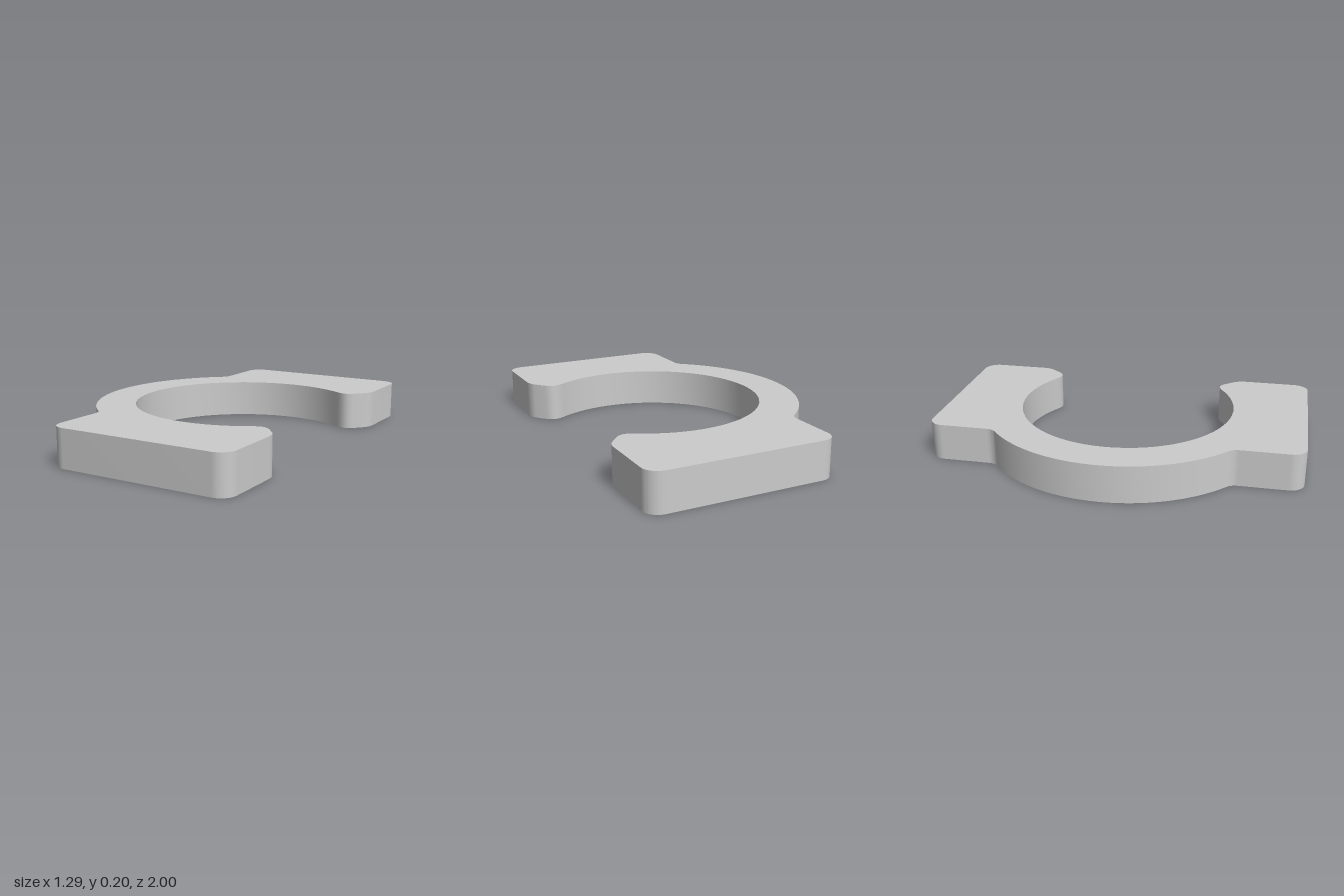
import * as THREE from 'three';
import { toCreasedNormals } from 'three/addons/utils/BufferGeometryUtils.js';

const THICKNESS = 0.2;
const CX = 0.16;       // centre of the ring
const INNER = 0.595;
const OUTER = 0.805;
const CORNER = 0.08;

// Half of the plan outline, from the inside of the ring round one pad to its outside
function halfOutline() {
  const left = -0.34, right = 0.645, end = 1;
  const p = new THREE.Path();
  p.absarc(CX, 0, INNER, Math.PI, Math.atan2(0.52, 0.29), true);
  // rounded jaw tip
  p.bezierCurveTo(0.5, 0.487, 0.54, 0.468, 0.58, 0.515);
  p.lineTo(0.62, 0.562);
  p.quadraticCurveTo(right, 0.592, right, 0.64);
  // pad with rounded outer corners
  p.lineTo(right, end - CORNER);
  p.absarc(right - CORNER, end - CORNER, CORNER, 0, Math.PI / 2, false);
  p.lineTo(left + CORNER, end);
  p.absarc(left + CORNER, end - CORNER, CORNER, Math.PI / 2, Math.PI, false);
  // small fillet where the pad meets the ring
  p.lineTo(left, 0.665);
  p.quadraticCurveTo(left, 0.632, -0.365, 0.61);
  p.absarc(CX, 0, OUTER, Math.atan2(0.61, -0.525), Math.PI, false);
  return p.getPoints(12);
}

export function createModel() {
  const half = halfOutline();
  // mirror the half, dropping the two points shared on the axis
  const mirrored = half.slice(1, -1).reverse().map(q => new THREE.Vector2(q.x, -q.y));
  const shape = new THREE.Shape([...half, ...mirrored]);

  const extruded = new THREE.ExtrudeGeometry(shape, { depth: THICKNESS, bevelEnabled: false });
  extruded.rotateX(-Math.PI / 2);

  const clip = new THREE.Mesh(
    toCreasedNormals(extruded, 0.5),
    new THREE.MeshStandardMaterial({ color: 0xcccccc })
  );
  clip.name = 'openRingClip';

  const group = new THREE.Group();
  group.name = 'ringClip';
  group.add(clip);
  return group;
}
